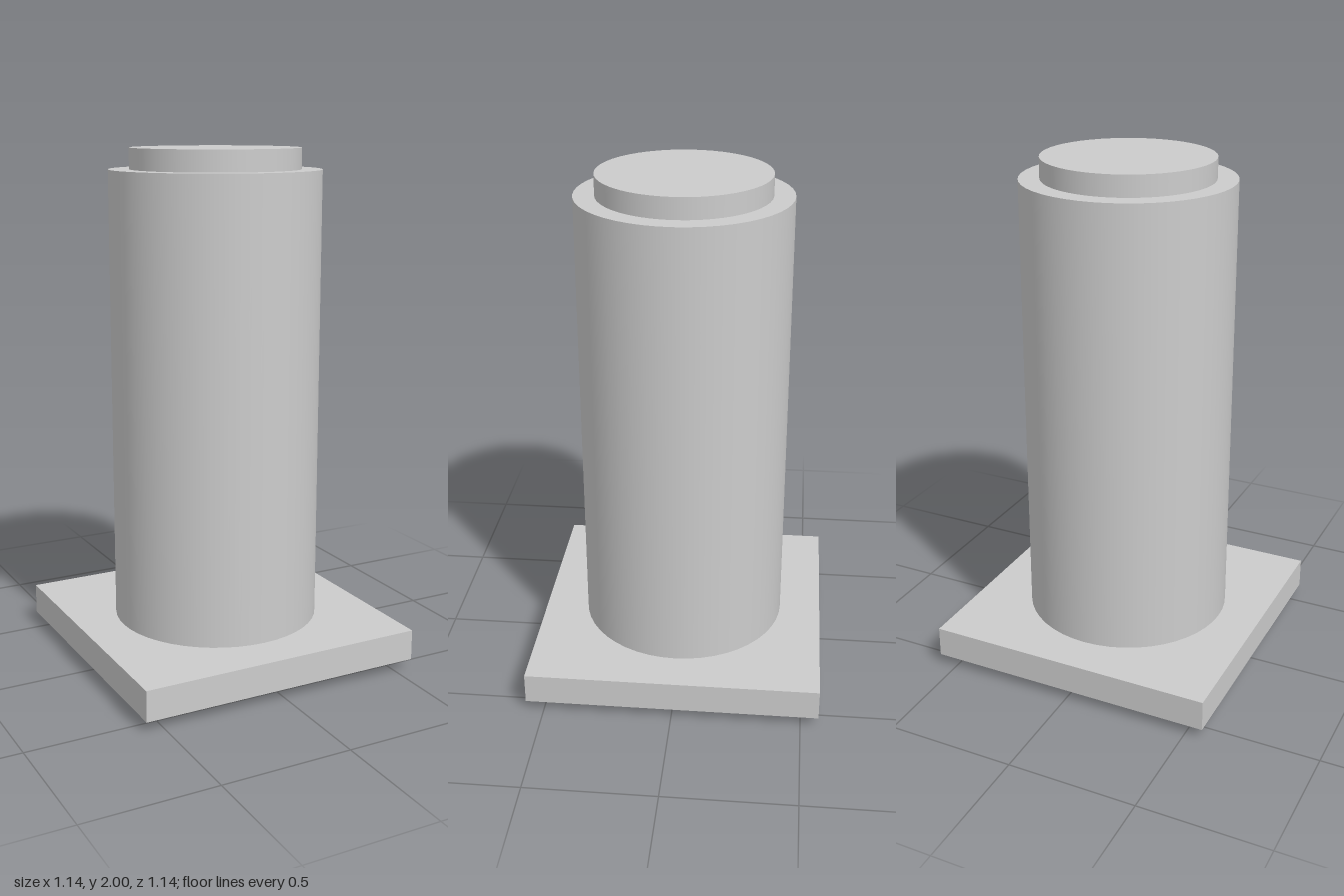
import * as THREE from 'three';

export function createModel() {
  const model = new THREE.Group();
  const grey = new THREE.MeshStandardMaterial({ color: 0xcccccc });
  grey.name = 'plain grey';

  // Adds a named mesh resting between two heights
  function add(name, geometry, bottom, top) {
    const mesh = new THREE.Mesh(geometry, grey);
    mesh.name = name;
    mesh.position.y = (bottom + top) / 2;
    model.add(mesh);
  }
  function disc(name, radius, bottom, top) {
    add(name, new THREE.CylinderGeometry(radius, radius, top - bottom, 48), bottom, top);
  }

  // Round boss under the square flange
  disc('bottomBoss', 0.242, 0, 0.04);
  // Square flange
  add('squareFlange', new THREE.BoxGeometry(1.138, 0.12, 1.138), 0.04, 0.16);
  // Main cylinder and the narrower cap above it
  disc('mainCylinder', 0.404, 0.16, 1.92);
  disc('topCap', 0.325, 1.92, 2);

  return model;
}
